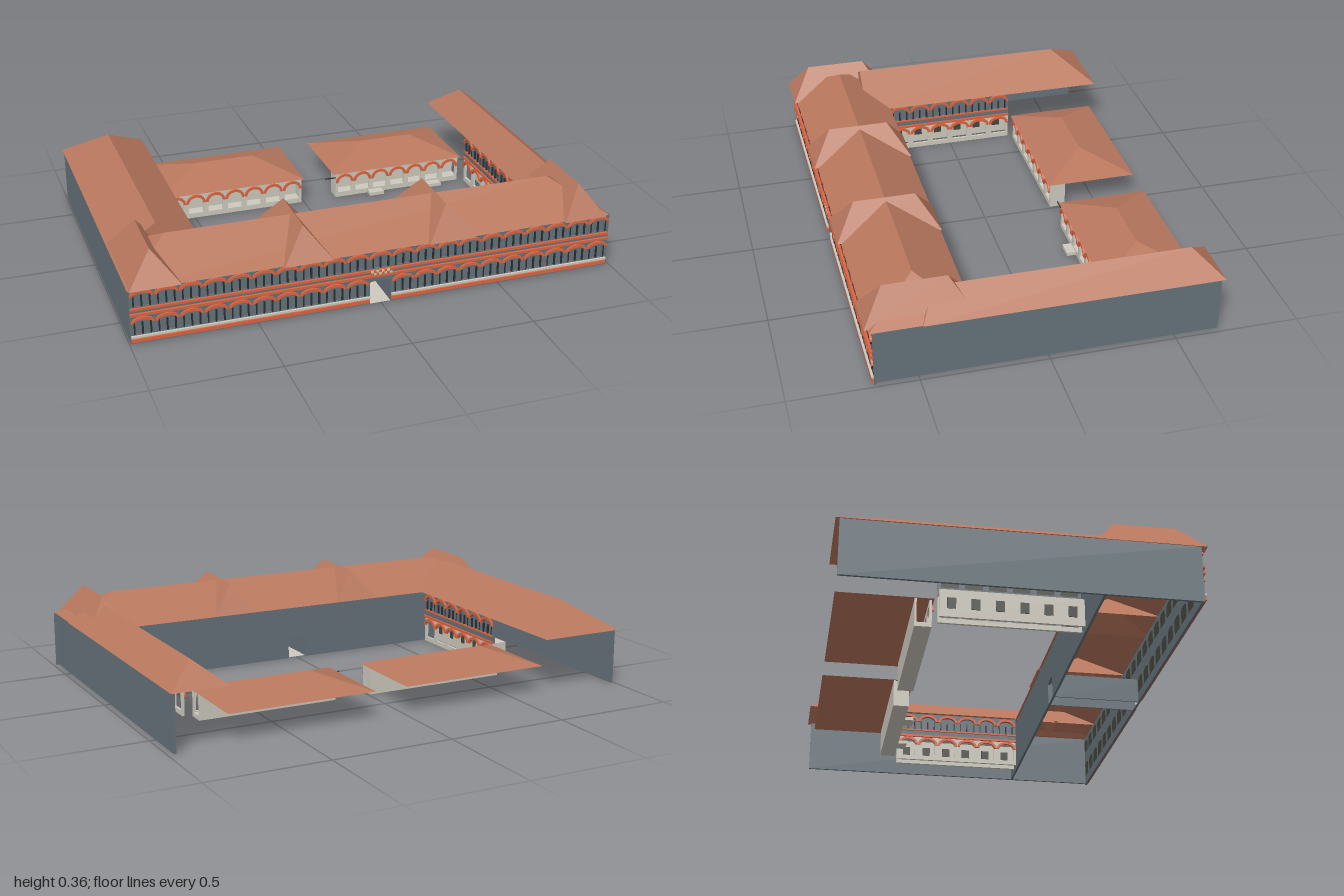
import * as THREE from 'three';

const mat = (name, color, side = THREE.FrontSide) => {
  const m = new THREE.MeshStandardMaterial({ color, side });
  m.name = name;
  return m;
};

export function createModel() {
  const roofTile = mat('roofTile', 0xb8775d, THREE.DoubleSide);
  const slate = mat('slateWall', 0x66727a);
  const cream = mat('creamPlaster', 0xcdc9bd);
  const orange = mat('orangeTrim', 0xdc6440);
  const glass = mat('darkGlass', 0x45463e);
  const frame = mat('darkFrame', 0x2b2f31);

  const model = new THREE.Group();
  model.name = 'courtyardBuilding';

  const add = (parent, name, geo, material, x = 0, y = 0, z = 0) => {
    const m = new THREE.Mesh(geo, material);
    m.name = name;
    m.position.set(x, y, z);
    parent.add(m);
    return m;
  };
  // Box given by its limits
  const box = (parent, name, material, x0, x1, y0, y1, z0, z1) =>
    add(parent, name, new THREE.BoxGeometry(x1 - x0, y1 - y0, z1 - z0), material,
      (x0 + x1) / 2, (y0 + y1) / 2, (z0 + z1) / 2);
  const extrude = (shape, depth) =>
    new THREE.ExtrudeGeometry(shape, { depth, bevelEnabled: false, curveSegments: 8 });
  const rect = (x0, x1, y0, y1) => new THREE.Shape([
    new THREE.Vector2(x0, y0), new THREE.Vector2(x1, y0),
    new THREE.Vector2(x1, y1), new THREE.Vector2(x0, y1)]);

  // Opening with a flattened arch on top
  const archOutline = (PathType, c, half, bottom, spring, rise) => {
    const p = new PathType();
    p.moveTo(c - half, bottom);
    p.lineTo(c + half, bottom);
    p.lineTo(c + half, spring);
    p.absellipse(c, spring, half, rise, 0, Math.PI, false, 0);
    p.closePath();
    return p;
  };
  const doorway = (c) => archOutline(THREE.Path, c, 0.043, 0.0005, 0.092, 0.008);

  // One storey of arched bays facing +z, standing in front of local z = 0
  function arcade(o) {
    const g = new THREE.Group();
    g.name = o.name;
    const pitch = o.width / o.bays;
    const half = pitch * 0.37;
    const spring = o.y1 - 0.016 - o.rise, sill = o.y0 + o.sill;
    const wall = rect(-o.width / 2, o.width / 2, o.y0, o.y1);
    for (let i = 0; i < o.bays; i++) {
      const c = (i + 0.5 - o.bays / 2) * pitch;
      if (o.door && i === (o.bays - 1) / 2) {
        wall.holes.push(doorway(c));
        continue;
      }
      wall.holes.push(archOutline(THREE.Path, c, half, sill, spring, o.rise));
      // Projecting arch moulding
      const ring = new THREE.Shape();
      const out = pitch * 0.49;
      ring.moveTo(c + out, spring);
      ring.absellipse(c, spring, out, o.rise + 0.011, 0, Math.PI, false, 0);
      ring.lineTo(c - half, spring);
      ring.absellipse(c, spring, half, o.rise, Math.PI, 0, true, 0);
      ring.closePath();
      add(g, 'archMoulding', extrude(ring, 0.008), orange, 0, 0, 0.01);
      if (o.glazed) {
        // Slate shutter outside, dark lining inside
        const pane = archOutline(THREE.Shape, c, half, sill, spring, o.rise);
        add(g, 'windowLining', extrude(pane, 0.002), glass);
        add(g, 'windowPane', extrude(pane, 0.002), slate, 0, 0, 0.002);
        for (const s of [-1, 0, 1])
          box(g, 'windowBar', frame, c + s * (half - 0.003) - 0.003, c + s * (half - 0.003) + 0.003,
            sill, spring, 0.004, 0.011);
      }
    }
    add(g, 'arcadeWall', extrude(wall, 0.01), o.face);
    return g;
  }

  // Hipped roof shell; the ridge runs along x or z from r0 to r1
  function hipRoof(name, x0, x1, z0, z1, y0, y1, axis, r0, r1) {
    const A = [x0, y0, z0], B = [x1, y0, z0], C = [x1, y0, z1], D = [x0, y0, z1];
    const xm = (x0 + x1) / 2, zm = (z0 + z1) / 2;
    const along = axis === 'x';
    const R = along ? [r0, y1, zm] : [xm, y1, r0];
    const S = along ? [r1, y1, zm] : [xm, y1, r1];
    const faces = along
      ? [D, C, S, D, S, R, B, A, R, B, R, S, A, D, R, C, B, S]
      : [A, D, S, A, S, R, C, B, R, C, R, S, D, C, S, B, A, R];
    const geo = new THREE.BufferGeometry();
    geo.setAttribute('position', new THREE.Float32BufferAttribute(faces.flat(), 3));
    geo.computeVertexNormals();
    add(model, name, geo, roofTile);
  }

  // Main roofs
  const eave = 0.23;
  hipRoof('frontRoof', -1, 0.98, 0.28, 0.68, eave, 0.345, 'x', -0.81, 0.79);
  hipRoof('rightWingRoof', -1, -0.64, -0.695, 0.39, eave, 0.345, 'z', -0.53, 0.385);
  hipRoof('leftWingRoof', 0.755, 0.985, -0.695, 0.48, eave, 0.322, 'z', -0.59, 0.42);
  for (const [x, w] of [[-0.895, 0.1], [-0.3, 0.098], [0.29, 0.098], [0.868, 0.09]])
    hipRoof('crossRoof', x - w, x + w, 0.275, 0.695, eave + 0.002, 0.357, 'z', 0.36, 0.61);

  // Outer walls and the courtyard wall with its doorway
  box(model, 'rightOuterWall', slate, -0.995, -0.985, 0, eave, -0.68, 0.67);
  box(model, 'leftOuterWall', slate, 0.965, 0.975, 0, eave, -0.68, 0.67);
  const court = rect(-0.99, 0.97, 0, eave);
  court.holes.push(doorway(-0.003));
  add(model, 'courtyardWall', extrude(court, 0.01), slate, 0, 0, 0.29);

  // Street front: two storeys of arched windows with bands
  const front = new THREE.Group();
  front.name = 'streetFront';
  front.position.set(-0.003, 0, 0.66);
  model.add(front);
  const bays = { width: 1.98, bays: 21, rise: 0.014, face: slate, glazed: true };
  front.add(arcade({ ...bays, name: 'lowerStorey', y0: 0, y1: 0.118, sill: 0.038, door: true }));
  front.add(arcade({ ...bays, name: 'upperStorey', y0: 0.118, y1: eave, sill: 0.037 }));
  for (const [y, h] of [[0.124, 0.01], [0.147, 0.009]])
    box(front, 'stringCourse', orange, -0.99, 0.985, y - h / 2, y + h / 2, 0.008, 0.02);
  for (const [a, b] of [[-0.99, -0.045], [0.045, 0.985]]) {
    box(front, 'plinthBand', orange, a, b, 0.008, 0.022, 0.008, 0.018);
    box(front, 'sillBand', cream, a, b, 0.027, 0.035, 0.008, 0.019);
  }
  // Chequered strip above the gate
  for (let i = 0; i < 8; i++)
    for (const j of [0, 1])
      box(front, 'gateChequer', (i + j) % 2 ? cream : orange, -0.044 + i * 0.011, -0.033 + i * 0.011,
        0.131 + j * 0.01, 0.141 + j * 0.01, 0.018, 0.023);

  // Gate passage through the front wing
  for (const x of [-0.051, 0.04])
    box(model, 'passageWall', slate, x, x + 0.005, 0, 0.1, 0.295, 0.665);
  box(model, 'passageCeiling', slate, -0.051, 0.045, 0.1, 0.104, 0.295, 0.665);
  const floor = new THREE.PlaneGeometry(0.09, 0.37).rotateX(-Math.PI / 2);
  add(model, 'passageFloor', floor, cream, -0.003, 0.001, 0.485);

  // Courtyard galleries of the two wings
  function gallery(name, x, turn) {
    const g = new THREE.Group();
    g.name = name;
    g.position.set(x, 0, 0);
    g.rotation.y = turn * Math.PI / 2;
    const o = { width: 0.56, bays: 6, rise: 0.024 };
    g.add(arcade({ ...o, name: 'lowerGallery', y0: 0, y1: 0.115, sill: 0.02, face: cream }));
    g.add(arcade({ ...o, name: 'upperGallery', y0: 0.115, y1: eave, sill: 0.035, face: slate, glazed: true }));
    box(g, 'galleryBand', orange, -0.28, 0.28, 0.112, 0.122, 0.008, 0.018);
    box(g, 'galleryRail', orange, -0.28, 0.28, 0.143, 0.15, 0.008, 0.016);
    box(g, 'galleryFloor', cream, -0.28, 0.28, 0.11, 0.115, -0.045, 0);
    box(g, 'lowerBackWall', cream, -0.28, 0.28, 0, 0.115, -0.055, -0.045);
    for (let i = 0; i < 6; i++) {
      const c = (i - 2.5) * 0.0933;
      box(g, 'galleryWindow', glass, c - 0.017, c + 0.017, 0.035, 0.08, -0.058, -0.042);
    }
    model.add(g);
  }
  gallery('rightGallery', -0.67, 1);
  gallery('leftGallery', 0.78, -1);

  // Two low pavilions closing the back of the courtyard
  function pavilion(name, x0, x1, ridge0, ridge1, inner) {
    hipRoof(name + 'Roof', x0, x1, -0.67, -0.288, 0.115, 0.177, 'x', ridge0, ridge1);
    const g = new THREE.Group();
    g.name = name;
    model.add(g);
    const a = x0 + 0.012, b = x1 - 0.012;
    const row = arcade({ name: 'pavilionArcade', width: b - a, bays: 7, y0: 0, y1: 0.115, sill: 0.022, rise: 0.028, face: cream });
    row.position.set((a + b) / 2, 0, -0.306);
    g.add(row);
    box(g, 'pavilionFloor', cream, a, b, 0, 0.018, -0.355, -0.3);
    box(g, 'pavilionBackWall', cream, a, b, 0, 0.118, -0.363, -0.355);
    const e = inner < 0 ? a : b - 0.008;
    box(g, 'pavilionEndWall', cream, e, e + 0.008, 0, 0.115, -0.355, -0.306);
  }
  pavilion('rightPavilion', -0.64, 0, -0.46, -0.185, 1);
  pavilion('leftPavilion', 0.138, 0.755, 0.325, 0.575, -1);
  for (const x of [0.335, 0.615])
    box(model, 'pavilionStep', cream, x - 0.033, x + 0.033, 0, 0.015, -0.297, -0.258);
  box(model, 'lampArm', frame, 0.1, 0.15, 0.094, 0.098, -0.297, -0.293);

  return model;
}
